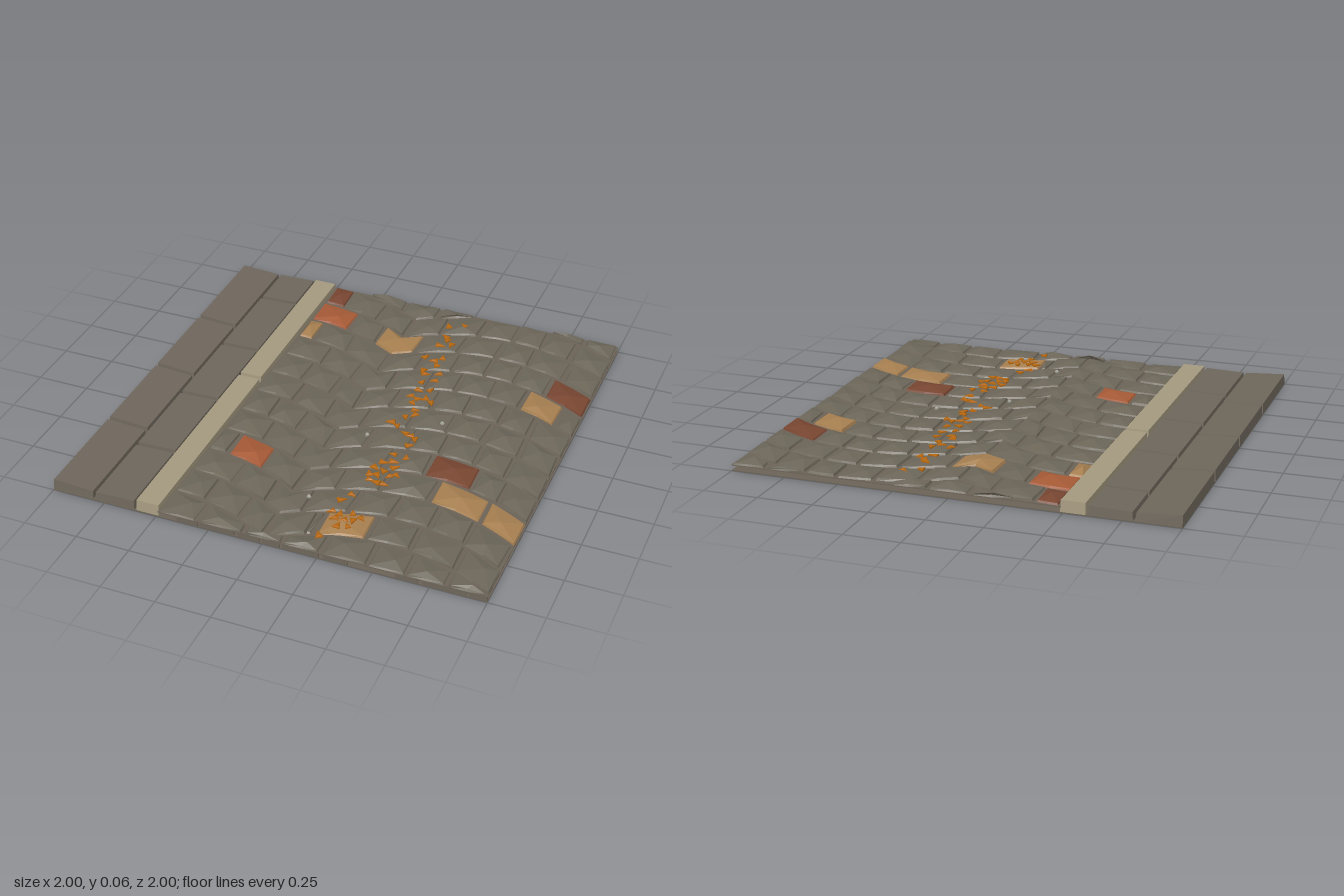
import * as THREE from 'three';

const mat = (name, color) => {
  const m = new THREE.MeshStandardMaterial({ color });
  m.name = name;
  return m;
};

// Small seeded generator for the irregular stonework
function seeded(seed) {
  return () => {
    seed = (seed * 1664525 + 1013904223) % 4294967296;
    return seed / 4294967296;
  };
}

// Faceted block: footprint ring [x, z], sloping sides, chamfered top and a peak
function addBlock(out, ring, y0, topY, inset, peak) {
  const n = ring.length;
  const cx = ring.reduce((s, p) => s + p[0], 0) / n;
  const cz = ring.reduce((s, p) => s + p[1], 0) / n;
  const low = ring.map(([x, z]) => [x, y0, z]);
  const high = ring.map(([x, z]) => {
    const d = Math.hypot(cx - x, cz - z) || 1;
    const k = Math.min(inset / d, 0.4);
    const px = x + (cx - x) * k, pz = z + (cz - z) * k;
    return [px, topY(px, pz), pz];
  });
  const apex = [cx + peak.dx, peak.y ?? topY(cx, cz), cz + peak.dz];
  for (let i = 0; i < n; i++) {
    const j = (i + 1) % n;
    out.push(...low[i], ...low[j], ...high[j], ...low[i], ...high[j], ...high[i]);
    out.push(...apex, ...high[i], ...high[j]);
  }
}

function facetMesh(name, positions, material) {
  const g = new THREE.BufferGeometry();
  g.setAttribute('position', new THREE.Float32BufferAttribute(positions, 3));
  g.computeVertexNormals();
  const m = new THREE.Mesh(g, material);
  m.name = name;
  return m;
}

function plate(name, w, h, d, x, y, z, material) {
  const m = new THREE.Mesh(new THREE.BoxGeometry(w, h, d), material);
  m.position.set(x, y, z);
  m.name = name;
  return m;
}

export function createModel() {
  const model = new THREE.Group();
  const rand = seeded(41);
  const jitter = (a) => (rand() - 0.5) * 2 * a;
  const mats = {
    stone: mat('cobble grey', 0x6c6659),
    slab: mat('slab brown grey', 0x6e665b),
    kerb: mat('kerb beige', 0xa4997f),
    mortar: mat('mortar', 0x6c6357),
    orange: mat('orange stone', 0xa65a36),
    red: mat('dark red stone', 0x784631),
    tan: mat('tan stone', 0xa67f50),
    leaf: mat('leaf orange', 0xb4660f),
    pebble: mat('pebble grey', 0xa3a398),
  };

  // Base sheet and the mortar bed under the cobbles
  model.add(plate('base', 2, 0.004, 2, 0, 0.002, 0, mats.mortar));
  model.add(plate('mortarBed', 1.49, 0.004, 2, 0.255, 0.027, 0, mats.mortar));

  // Two columns of sidewalk slabs and the kerb
  const columns = [
    ['slabOuter', mats.slab, -1, -0.805, [-1, -0.457, 0.008, 0.488, 1], 0.053, 0.041],
    ['slabInner', mats.slab, -0.795, -0.605, [-1, -0.757, -0.292, 0.158, 0.603, 1], 0.041, 0.046],
    ['kerb', mats.kerb, -0.595, -0.488, [-1, -0.065, 1], 0.055, 0.055],
  ];
  for (const [name, material, x0, x1, cuts, ya, yb] of columns) {
    const out = [];
    for (let i = 0; i < cuts.length - 1; i++) {
      const a = cuts[i] + (i ? 0.006 : 0);
      const b = cuts[i + 1] - (i < cuts.length - 2 ? 0.006 : 0.003);
      const top = (x) => ya + (yb - ya) * (x - x0) / (x1 - x0);
      addBlock(out, [[x0, a], [x0, b], [x1, b], [x1, a]], 0, top, 0.006, { dx: 0, dz: 0 });
    }
    model.add(facetMesh(name, out, material));
  }

  // Cobbles in arched courses that meet in a valley at x = 0
  const pitch = 0.168, left = -0.478, gap = 0.009;
  const arch = (x) => 0.152 * ((Math.abs(x) - 0.5) / 0.5) ** 2;
  const special = [
    [-7, left, -0.375, 'red'], [-6, left, -0.275, 'orange'], [-6, -0.11, 0.1, 'tan'],
    [-5, left, -0.405, 'tan'], [-5, 0.79, 1, 'red'], [-4, 0.715, 0.905, 'tan'],
    [0, 0.475, 0.705, 'red'], [1, -0.39, -0.2, 'orange'], [1, 0.565, 0.815, 'tan'],
    [1, 0.815, 1, 'tan'], [3, 0.19, 0.4, 'tan'],
  ];
  const lists = { stone: [], orange: [], red: [], tan: [] };

  function cobble(k, x0, x1, colour) {
    const xa = x0 + (x0 > left ? gap : 0), xb = x1 - (x1 < 1 ? gap : 0);
    const zTop = 0.17 + k * pitch + gap, zBot = zTop + pitch - 2 * gap;
    const clamp = (z) => Math.max(-1, Math.min(1, z));
    const xs = x0 < 0 && x1 > 0 ? [xa, 0, xb] : [xa, (xa + xb) / 2, xb];
    const lean = jitter(0.008);
    const lower = xs.map((x, i) => [x + (i === 1 || x === 1 ? 0 : lean), clamp(zBot + arch(x))]);
    const upper = xs.map((x) => [x, clamp(zTop + arch(x))]).reverse();
    const ring = [...lower, ...upper].map(([x, z]) => [Math.max(left, Math.min(1, x)), z]);
    const zs = ring.map((p) => p[1]);
    if (Math.max(...zs) - Math.min(...zs) < 0.025) return;
    const tilt = jitter(0.03), rim = 0.036 + rand() * 0.004;
    const cx = (xa + xb) / 2;
    addBlock(lists[colour], ring, 0.028, (x) => rim + tilt * (x - cx), 0.007,
      { dx: jitter(0.03), dz: jitter(0.025), y: 0.05 + rand() * 0.005 });
  }

  for (let k = -8; k <= 4; k++) {
    const fixed = special.filter((s) => s[0] === k);
    const spans = fixed.map((s) => s.slice(1));
    // Alternate courses have a keystone in the valley or a joint there
    if (k % 2 === 0 && !fixed.some((s) => s[1] < 0 && s[2] > 0)) spans.push([-0.09, 0.09, 'stone']);
    else if (k % 2) spans.push([0, 0.16, 'stone']);
    spans.sort((a, b) => a[0] - b[0]);
    let x = left;
    for (const [x0, x1, colour] of [...spans, [1, 1, null]]) {
      const room = x0 - x;
      if (room > 0.01) {
        const n = Math.max(1, Math.round(room / 0.175));
        const cuts = Array.from({ length: n + 1 }, (_, i) =>
          x + room * i / n + (i && i < n ? jitter(0.022) : 0));
        for (let i = 0; i < n; i++) cobble(k, cuts[i], cuts[i + 1], 'stone');
      }
      if (colour) cobble(k, x0, x1, colour);
      x = x1;
    }
  }
  for (const c in lists) model.add(facetMesh(c + 'Cobbles', lists[c], mats[c]));

  // Cut stone faces along the front edge
  const faces = [[-0.4, -0.3], [-0.29, -0.13], [-0.115, -0.01], [0, 0.08], [0.09, 0.26],
    [0.28, 0.39], [0.6, 0.7], [0.72, 0.91], [0.92, 1]];
  for (const [a, b] of faces) {
    model.add(plate('frontStoneFace', b - a, 0.026, 0.006, (a + b) / 2, 0.015, 0.997, mats.slab));
  }

  // Clusters of fallen leaf chips, [x, z]
  const chips = [
    [0.18, -0.84], [0.25, -0.87], [0.2, -0.74], [0.22, -0.71], [0.25, -0.68], [0.2, -0.66],
    [0.17, -0.54], [0.22, -0.52], [0.25, -0.56], [0.24, -0.49], [0.2, -0.42], [0.22, -0.4],
    [0.28, -0.42], [0.28, -0.36], [0.23, -0.33], [0.29, -0.28], [0.24, -0.26], [0.22, -0.2],
    [0.26, -0.19], [0.29, -0.21], [0.33, -0.18], [0.25, -0.15], [0.28, -0.1], [0.29, -0.06],
    [0.26, -0.03], [0.21, 0.03], [0.25, 0.05], [0.3, 0.09], [0.33, 0.1], [0.36, 0.12],
    [0.35, 0.17], [0.31, 0.26], [0.37, 0.26], [0.29, 0.33], [0.33, 0.31], [0.35, 0.35],
    [0.27, 0.38], [0.31, 0.39], [0.26, 0.43], [0.3, 0.43], [0.35, 0.42], [0.38, 0.4],
    [0.28, 0.47], [0.31, 0.48], [0.35, 0.48], [0.25, 0.6], [0.22, 0.65], [0.21, 0.74],
    [0.25, 0.74], [0.3, 0.72], [0.24, 0.78], [0.28, 0.78], [0.32, 0.77], [0.35, 0.74],
    [0.27, 0.82], [0.31, 0.81], [0.22, 0.91],
  ];
  const leaves = [];
  for (const [x, z] of chips) {
    const turn = rand() * Math.PI * 2, r = 0.021 + rand() * 0.006;
    const ring = [0, 2.3, 3.8].map((a) => [x + r * Math.cos(turn - a), z - r * Math.sin(turn - a)])
      .reverse();
    addBlock(leaves, ring, 0.047, () => 0.053, 0.001, { dx: jitter(0.004), dz: jitter(0.004), y: 0.057 });
  }
  model.add(facetMesh('leafChips', leaves, mats.leaf));

  // A few loose pebbles
  for (const [x, z] of [[0.43, -0.05], [0.145, 0.16], [0.08, 0.68]]) {
    const pebble = new THREE.Mesh(new THREE.IcosahedronGeometry(0.011, 0), mats.pebble);
    pebble.position.set(x, 0.047, z);
    pebble.name = 'pebble';
    model.add(pebble);
  }
  return model;
}
